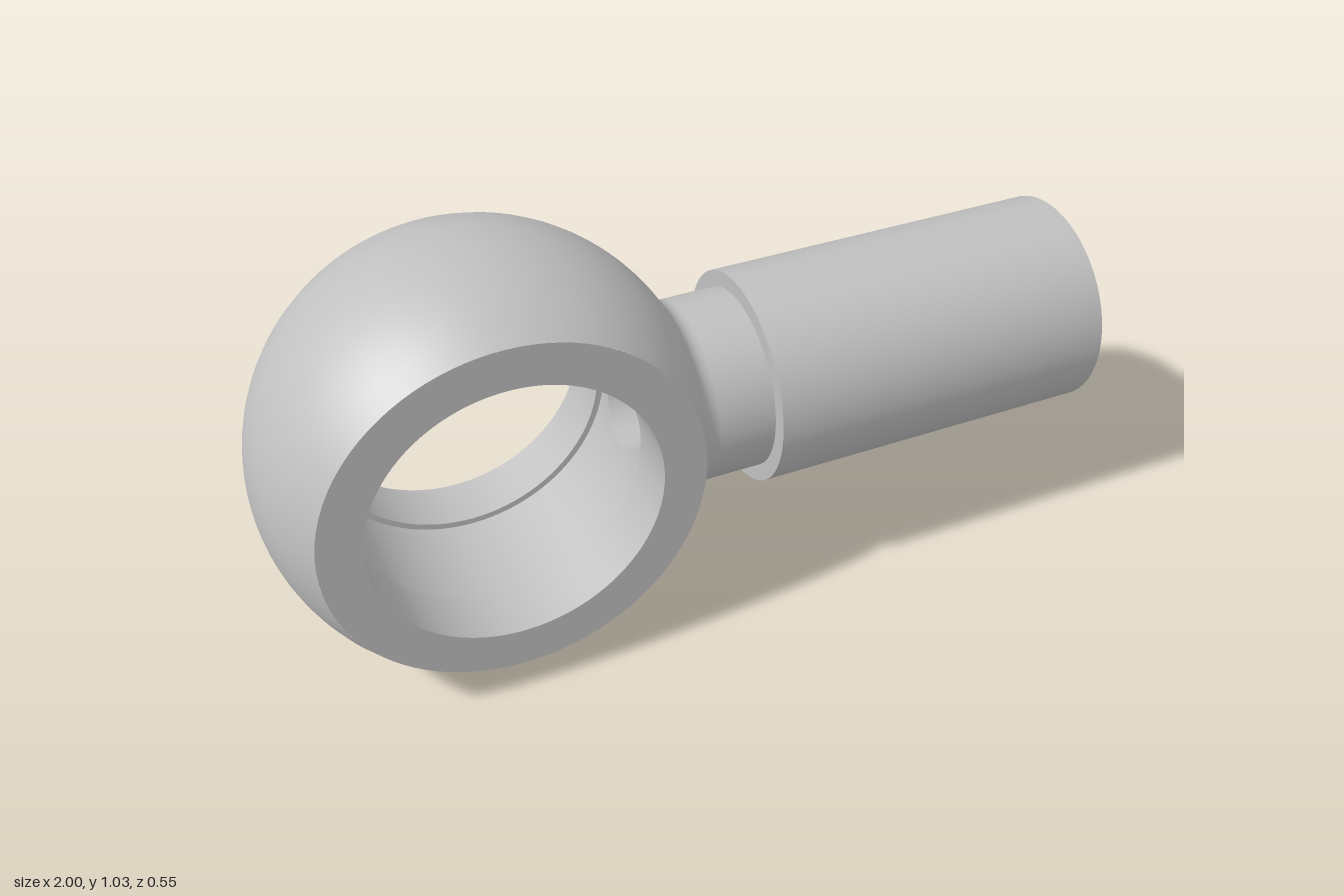
import * as THREE from 'three';
import { mergeVertices, toCreasedNormals } from 'three/addons/utils/BufferGeometryUtils.js';

const R = 0.514, HALF = 0.273;          // ball radius, half width
const BORE = 0.335, GROOVE = 0.35, GROOVE_HALF = 0.135;
const PORT = 0.108, NECK = 0.217, CX = -0.486;
const SEG = 64;

// Sharp-edged turned surface; profile is [radius, height] with the solid on its left
function turned(profile) {
  const pts = profile.map(([r, h]) => new THREE.Vector2(r, h));
  return new THREE.LatheGeometry(pts, SEG * 1.5);
}

// Wall of revolution around z with a round port facing +x
function portedWall(radiusAt, half, hole, a, inward) {
  const pos = [];
  const point = ([t, z]) => {
    const r = radiusAt(z);
    return [r * Math.cos(t), r * Math.sin(t), z];
  };
  const grid = (nu, nv, f) => {
    for (let i = 0; i < nu; i++) for (let j = 0; j < nv; j++) {
      const [p, q, s, t] = [f(i, j), f(i + 1, j), f(i + 1, j + 1), f(i, j + 1)].map(point);
      if (inward) pos.push(...p, ...s, ...q, ...p, ...t, ...s);
      else pos.push(...p, ...q, ...s, ...p, ...s, ...t);
    }
  };
  // Band around the ring, leaving a gap for the port patch
  const rows = SEG / 4;
  grid(96, rows, (i, j) => [
    a + (2 * Math.PI - 2 * a) * i / 96,
    half * Math.tan((j - rows / 2) * 2 * Math.PI / SEG)
  ]);
  // Patch blending from the round port to the rectangular gap
  grid(10, SEG, (i, j) => {
    const phi = j * 2 * Math.PI / SEG, c = Math.cos(phi), s = Math.sin(phi);
    const m = Math.max(Math.abs(c), Math.abs(s)), k = i / 10;
    const z0 = hole * s, t0 = Math.asin(hole * c / radiusAt(z0));
    return [t0 + (a * c / m - t0) * k, z0 + (half * s / m - z0) * k];
  });
  const g = new THREE.BufferGeometry();
  g.setAttribute('position', new THREE.Float32BufferAttribute(pos, 3));
  const merged = mergeVertices(g, 1e-5);
  merged.computeVertexNormals();
  return merged;
}

export function createModel() {
  const model = new THREE.Group();
  model.name = 'banjoFitting';
  const steel = new THREE.MeshStandardMaterial({ color: 0xc0c0c0 });
  steel.name = 'steel grey';
  const add = (parent, name, geometry) => {
    const mesh = new THREE.Mesh(geometry, steel);
    mesh.name = name;
    parent.add(mesh);
  };

  // Ball-shaped ring
  const ring = new THREE.Group();
  ring.name = 'ring';
  ring.position.set(CX, R, 0);
  model.add(ring);
  add(ring, 'ballSurface', portedWall(z => Math.sqrt(R * R - z * z), HALF, 0.2, 0.6, false));
  add(ring, 'boreGroove', portedWall(() => GROOVE, GROOVE_HALF, PORT, 0.5, true));
  const rim = Math.sqrt(R * R - HALF * HALF);
  const lip = [[rim, HALF], [BORE, HALF], [BORE, GROOVE_HALF], [GROOVE, GROOVE_HALF]];
  const backLip = lip.map(([r, z]) => [r, -z]).reverse();
  for (const [name, profile] of [['frontLip', lip], ['backLip', backLip]]) {
    add(ring, name, toCreasedNormals(turned(profile).rotateX(Math.PI / 2), 0.15));
  }

  // Stem turned along x
  const stem = new THREE.Group();
  stem.name = 'stem';
  stem.position.y = R;
  model.add(stem);
  const addTurned = (name, profile, edit) => {
    const g = turned(profile).rotateZ(-Math.PI / 2);
    if (edit) edit(g.attributes.position);
    add(stem, name, toCreasedNormals(g, 0.15));
  };

  // Neck with a fillet tangent to the ball
  const f = 0.05, fr = NECK + f;
  const fx = Math.sqrt((R + f) ** 2 - fr * fr);
  const start = Math.atan2(-fr, -fx) + 2 * Math.PI;
  const neck = [];
  for (let i = 0; i <= 14; i++) {
    const t = start + (1.5 * Math.PI - start) * i / 14;
    neck.push([fr + f * Math.sin(t), CX + fx + f * Math.cos(t)]);
  }
  neck.push([NECK, 0.146]);
  addTurned('neck', neck);

  // Outer sleeve with a chamfered mouth and the cavity floor
  addTurned('sleeve', [[NECK, 0.146], [0.256, 0.146], [0.256, 1], [0.23, 1],
    [0.219, 0.95], [0.219, 0.3], [0.157, 0.3]]);

  // Inner tube; its bore is trimmed to the groove wall
  addTurned('innerTube', [[0.157, 0.3], [0.157, 0.944], [0.145, 1], [PORT, 1], [PORT, -0.15]], p => {
    for (let i = 0; i < p.count; i++) {
      if (p.getX(i) < -0.1) p.setX(i, CX + Math.sqrt(GROOVE ** 2 - p.getY(i) ** 2));
    }
  });
  return model;
}
